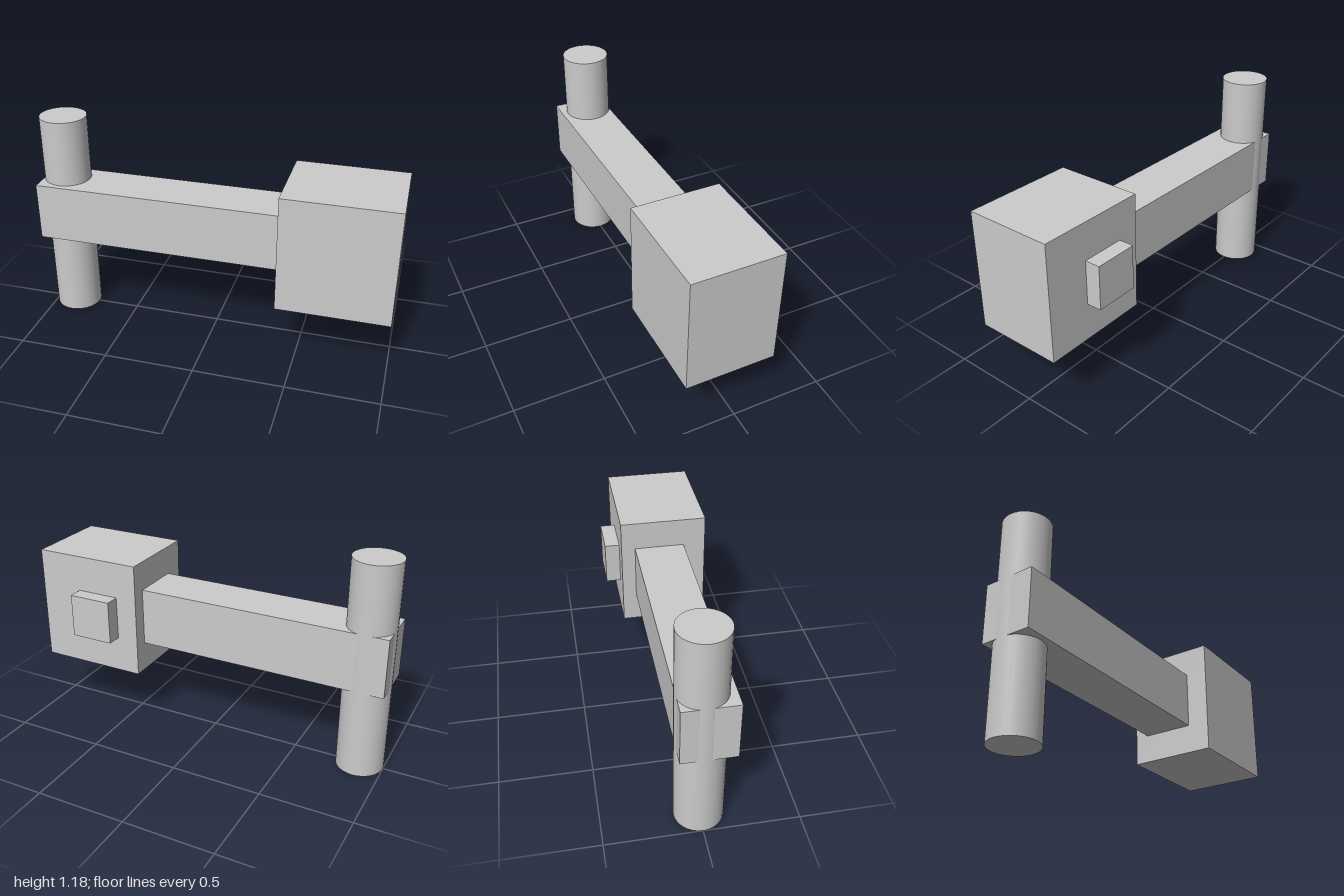
import * as THREE from 'three';

export function createModel() {
  const model = new THREE.Group();
  const material = new THREE.MeshStandardMaterial({ color: 0xcccccc });

  function add(name, geometry, x, y, z) {
    const mesh = new THREE.Mesh(geometry, material);
    mesh.name = name;
    mesh.position.set(x, y, z);
    model.add(mesh);
  }

  // Box given by its extents along each axis
  function addBox(name, [x0, x1], [y0, y1], [z0, z1]) {
    add(name, new THREE.BoxGeometry(x1 - x0, y1 - y0, z1 - z0),
      (x0 + x1) / 2, (y0 + y1) / 2, (z0 + z1) / 2);
  }

  // Upright round post
  add('post', new THREE.CylinderGeometry(0.129, 0.129, 1.18, 32), -0.871, 0.59, 0);

  // Horizontal arm; the post shows slightly through its back
  addBox('arm', [-0.995, 0.39], [0.492, 0.814], [-0.123, 0.16]);

  // Block at the end of the arm, with a square button on its back
  addBox('headBlock', [0.39, 1], [0.328, 0.976], [-0.201, 0.284]);
  addBox('backButton', [0.512, 0.755], [0.531, 0.774], [-0.284, -0.201]);

  return model;
}
